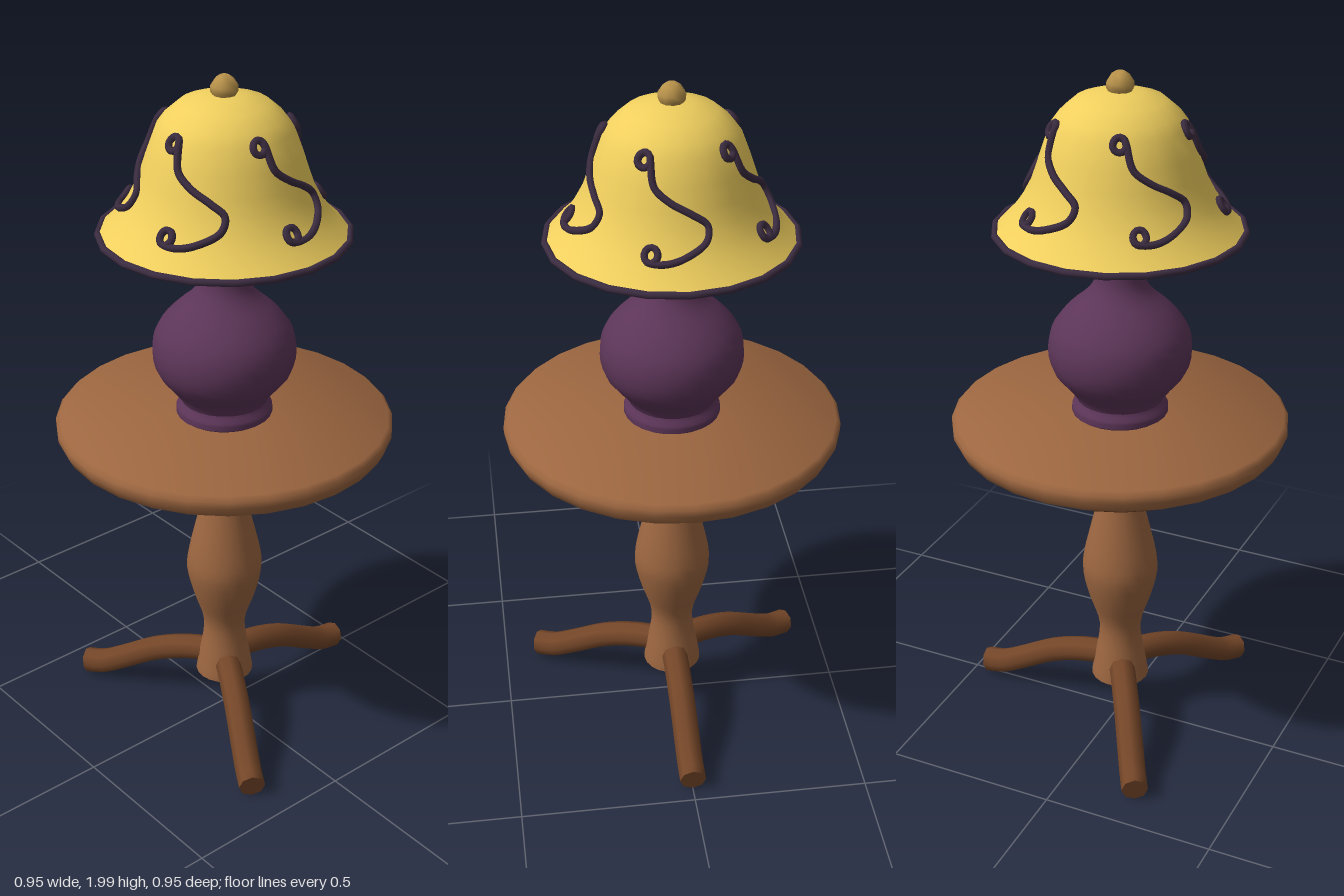
import * as THREE from 'three';
import { toCreasedNormals, mergeGeometries } from 'three/addons/utils/BufferGeometryUtils.js';

const paint = (color, side = THREE.FrontSide) => new THREE.MeshStandardMaterial({ color, side });
const wood = paint(0x9c6640), darkWood = paint(0x744628), plum = paint(0x5c3558);
const gold = paint(0xb8924a), trim = paint(0x3b2c40);
const yellow = paint(0xf0cf5e, THREE.DoubleSide), cream = paint(0xf5eeb8);

function mesh(name, geometry, material) {
  const m = new THREE.Mesh(geometry, material);
  m.name = name;
  return m;
}

// Turned part from [radius, height] pairs listed bottom to top
function turned(name, profile, sides, material, crease = 0.6) {
  const g = new THREE.LatheGeometry(profile.map(([r, y]) => new THREE.Vector2(r, y)), sides);
  return mesh(name, toCreasedNormals(g, crease), material);
}

// Rounds a coarse profile into a smooth one
function smooth(profile, n) {
  return new THREE.SplineCurve(profile.map(([r, y]) => new THREE.Vector2(r, y)))
    .getPoints(n).map(p => [p.x, p.y]);
}

// Tube with flat end caps
function cappedTube(points, steps, radius, sides) {
  const curve = new THREE.CatmullRomCurve3(points);
  const parts = [new THREE.TubeGeometry(curve, steps, radius, sides)];
  for (const [t, sign] of [[0, -1], [1, 1]]) {
    const cap = new THREE.CircleGeometry(radius, sides);
    const dir = curve.getTangent(t).multiplyScalar(sign);
    cap.applyQuaternion(new THREE.Quaternion().setFromUnitVectors(new THREE.Vector3(0, 0, 1), dir));
    const p = curve.getPoint(t);
    cap.translate(p.x, p.y, p.z);
    parts.push(cap);
  }
  return mergeGeometries(parts);
}

// Bell outline of the shade, rim to crown
const bell = [[0.34, 1.567], [0.305, 1.6], [0.28, 1.63], [0.262, 1.655], [0.238, 1.7],
  [0.224, 1.74], [0.206, 1.795], [0.182, 1.86], [0.16, 1.89], [0.12, 1.925], [0.06, 1.945], [0, 1.948]];

function bellRadius(y) {
  const i = Math.max(1, bell.findIndex(p => p[1] >= y));
  const [r0, y0] = bell[i - 1], [r1, y1] = bell[i];
  return r0 + (r1 - r0) * (y - y0) / (y1 - y0);
}

// Scroll ornament lying on the shade, in [angle, height], with a curl at each end
function scrollPoints() {
  const path = [];
  const curl = (angle, y, from, to) => {
    for (let i = 0; i <= 8; i++) {
      const a = THREE.MathUtils.degToRad(from + (to - from) * i / 8);
      path.push([angle + 0.017 * Math.cos(a) / bellRadius(y), y + 0.017 * Math.sin(a)]);
    }
  };
  curl(0.11, 1.86, 340, 0);
  path.push([0.28, 1.8], [0.48, 1.765], [0.72, 1.735], [0.88, 1.705], [0.84, 1.67], [0.62, 1.64], [0.45, 1.628]);
  curl(0.3, 1.645, 270, -70);
  return path.map(([a, y]) => {
    const r = bellRadius(y) + 0.004;
    return new THREE.Vector3(r * Math.sin(a), y, r * Math.cos(a));
  });
}

export function createModel() {
  const model = new THREE.Group();

  // Table
  const table = new THREE.Group();
  table.name = 'table';
  table.add(
    turned('tableTop', [[0, 0.945], [0.44, 0.945], [0.46, 0.957], [0.474, 0.985], [0.474, 1.005],
      [0.462, 1.018], [0, 1.02]], 28, wood, 0.9),
    turned('underDisc', [[0, 0.876], [0.325, 0.876], [0.335, 0.882], [0.357, 0.915], [0.357, 0.92], [0, 0.92]],
      28, darkWood),
    turned('column', [[0, 0.135], [0.085, 0.135], ...smooth([[0.085, 0.137], [0.075, 0.2], [0.063, 0.27], [0.064, 0.33],
      [0.09, 0.41], [0.109, 0.49], [0.107, 0.55], [0.082, 0.66], [0.064, 0.74], [0.063, 0.79],
      [0.085, 0.85], [0.098, 0.876]], 28), [0, 0.876]], 20, wood),
  );

  // Three splayed legs, one to the back
  const legPath = [[0.03, 0.19], [0.12, 0.178], [0.22, 0.147], [0.33, 0.088], [0.4, 0.053], [0.457, 0.043]];
  const legGeometry = toCreasedNormals(
    cappedTube(legPath.map(([r, y]) => new THREE.Vector3(0, y, r)), 16, 0.038, 8), 0.9);
  for (let i = 0; i < 3; i++) {
    const leg = mesh('leg', legGeometry, darkWood);
    leg.rotation.y = Math.PI + i * Math.PI * 2 / 3;
    table.add(leg);
  }

  // Lamp base and fittings
  const lamp = new THREE.Group();
  lamp.name = 'lamp';
  lamp.add(
    turned('lampBody', [[0, 1.02], [0.125, 1.02], ...smooth([[0.135, 1.027], [0.135, 1.045], [0.122, 1.07], [0.15, 1.11],
      [0.188, 1.16], [0.2, 1.22], [0.187, 1.28], [0.145, 1.335], [0.095, 1.38], [0.07, 1.42], [0.065, 1.468]], 26),
      [0, 1.468]], 24, plum),
    turned('collar', [[0, 1.465], [0.07, 1.465], [0.083, 1.475], [0.087, 1.49], [0.083, 1.503], [0, 1.505]], 20, gold, 0.9),
    turned('stem', [[0.018, 1.5], [0.018, 1.62]], 10, gold),
  );
  const bulb = mesh('bulb', new THREE.SphereGeometry(0.068, 10, 8), cream);
  bulb.position.y = 1.66;
  lamp.add(bulb);

  // Shade with rim, finial and five scrolls
  const shade = new THREE.Group();
  shade.name = 'shade';
  const rim = mesh('shadeRim', new THREE.TorusGeometry(0.338, 0.01, 8, 20), trim);
  rim.rotation.x = Math.PI / 2;
  rim.position.y = 1.567;
  shade.add(
    turned('shadeBell', bell, 20, yellow, 1.2),
    rim,
    turned('finial', [[0, 1.935], [0.024, 1.935], [0.037, 1.955], [0.037, 1.97], [0.024, 1.99], [0.012, 1.998], [0, 2]],
      10, gold, 1.2),
  );
  const scrollGeometry = cappedTube(scrollPoints(), 90, 0.01, 6);
  for (let i = 0; i < 5; i++) {
    const scroll = mesh('scroll', scrollGeometry, trim);
    scroll.rotation.y = i * Math.PI * 2 / 5;
    shade.add(scroll);
  }
  lamp.add(shade);

  model.add(table, lamp);
  return model;
}
